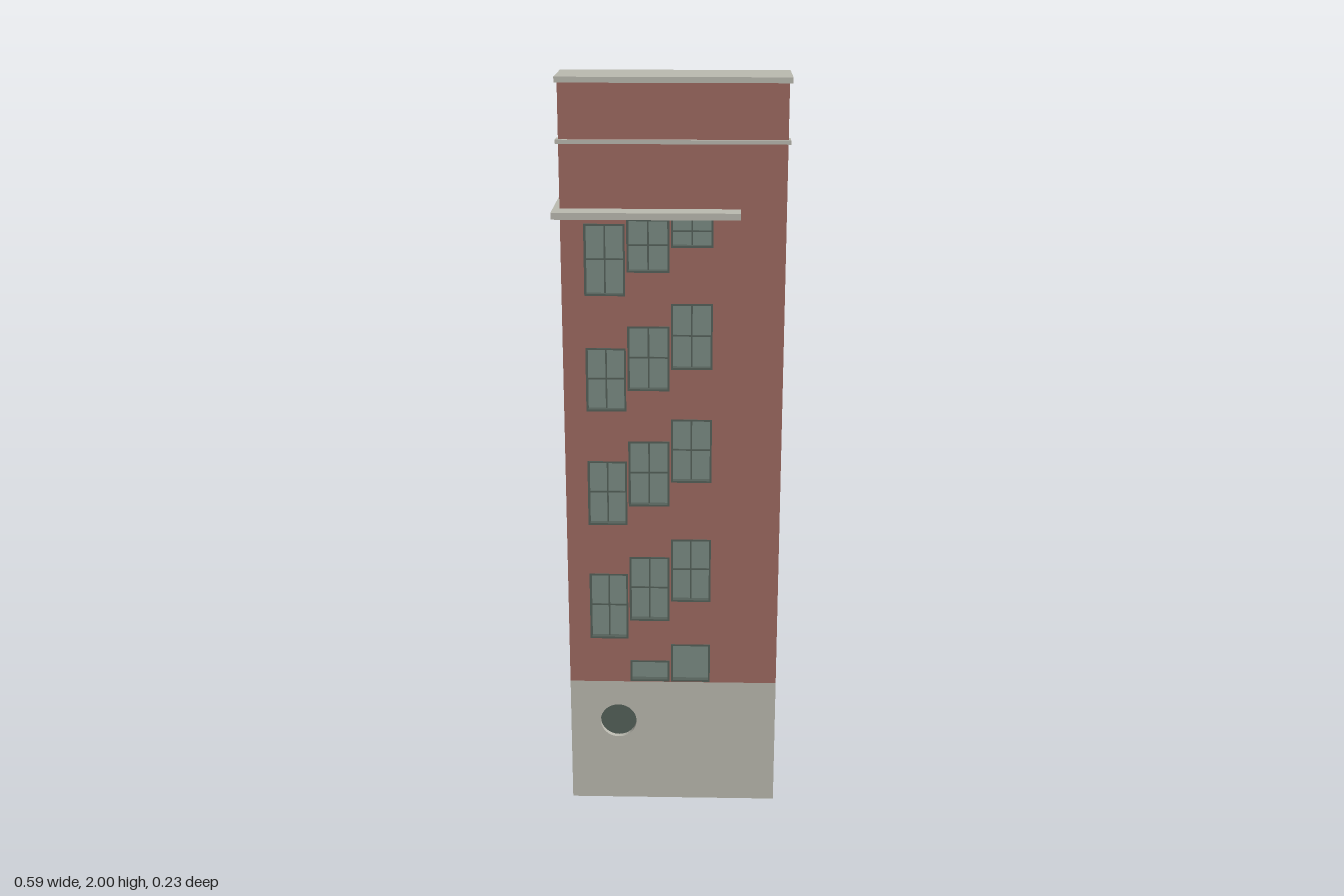
import * as THREE from 'three';

const mat = (name, color, side = THREE.FrontSide) => {
  const m = new THREE.MeshStandardMaterial({ color, side });
  m.name = name;
  return m;
};

// Wall extents
const X0 = -0.28, X1 = 0.287, Z0 = -0.111, Z1 = 0.053, T = 0.027;
const BASE = 0.365, TOP = 1.986;

// Window columns [left, right] and, per storey, [bottom, top] of each column
const COLS = [[-0.222, -0.118], [-0.114, -0.006], [-0.002, 0.105]];
const STOREYS = [
  [null, [0.367, 0.43], [0.367, 0.48]],
  [[0.496, 0.688], [0.55, 0.738], [0.608, 0.79]],
  [[0.83, 1.01], [0.884, 1.066], [0.952, 1.127]],
  [[1.148, 1.318], [1.204, 1.376], [1.262, 1.436]],
  [[1.455, 1.64], [1.516, 1.652], [1.58, 1.66]],
];
const PORTHOLE = { x: -0.148, y: 0.243, r: 0.05 };

const rect = (C, x0, x1, y0, y1) => {
  const s = new C();
  s.moveTo(x0, y0);
  s.lineTo(x1, y0);
  s.lineTo(x1, y1);
  s.lineTo(x0, y1);
  s.closePath();
  return s;
};

export function createModel() {
  const brick = mat('brick red', 0x9e6a61);
  const stone = mat('pale stone', 0xbbbab0);
  const glass = mat('grey green glass', 0x7b8c84, THREE.DoubleSide);
  const frame = mat('dark frame', 0x55615a, THREE.DoubleSide);
  const model = new THREE.Group();
  model.name = 'facade';

  const add = (parent, name, geo, material) => {
    const m = new THREE.Mesh(geo, material);
    m.name = name;
    parent.add(m);
    return m;
  };
  const box = (parent, name, material, x0, x1, y0, y1, z0, z1) => {
    const g = new THREE.BoxGeometry(x1 - x0, y1 - y0, z1 - z0);
    g.translate((x0 + x1) / 2, (y0 + y1) / 2, (z0 + z1) / 2);
    return add(parent, name, g, material);
  };
  const slab = (parent, name, material, shape, z0, depth) => {
    const g = new THREE.ExtrudeGeometry(shape, { depth, bevelEnabled: false, curveSegments: 24 });
    g.translate(0, 0, z0);
    return add(parent, name, g, material);
  };

  // Front wall: stone base with a round opening, brick above with windows
  const baseShape = rect(THREE.Shape, X0, X1, 0, BASE);
  const round = new THREE.Path();
  round.absarc(PORTHOLE.x, PORTHOLE.y, PORTHOLE.r, 0, Math.PI * 2, true);
  baseShape.holes.push(round);
  slab(model, 'frontBase', stone, baseShape, Z1 - T, T);

  const wallShape = rect(THREE.Shape, X0, X1, BASE, TOP);
  const windows = new THREE.Group();
  windows.name = 'windows';
  model.add(windows);

  STOREYS.forEach((storey) => storey.forEach((span, c) => {
    if (!span) return;
    const [x0, x1] = COLS[c], [y0, y1] = span;
    wallShape.holes.push(rect(THREE.Path, x0, x1, y0, y1));

    const win = new THREE.Group();
    win.name = 'window';
    windows.add(win);
    // Frame ring lining the opening
    const f = 0.005;
    const ring = rect(THREE.Shape, x0, x1, y0, y1);
    ring.holes.push(rect(THREE.Path, x0 + f, x1 - f, y0 + f, y1 - f));
    slab(win, 'windowFrame', frame, ring, Z1 - T - 0.001, T + 0.002);
    box(win, 'windowPane', glass, x0 + f, x1 - f, y0 + f, y1 - f, 0.034, 0.038);
    // Glazing bars on the outer face
    const cx = (x0 + x1) / 2, cy = (y0 + y1) / 2, b = 0.002;
    if (y0 < BASE + 0.01) return;
    box(win, 'uprightBar', frame, cx - b, cx + b, y0 + f, y1 - f, 0.038, 0.042);
    box(win, 'crossBar', frame, x0 + f, x1 - f, cy - b, cy + b, 0.038, 0.042);
  }));
  slab(model, 'frontWall', brick, wallShape, Z1 - T, T);

  // Round window
  const disc = new THREE.CylinderGeometry(PORTHOLE.r, PORTHOLE.r, 0.004, 32);
  disc.rotateX(Math.PI / 2);
  disc.translate(PORTHOLE.x, PORTHOLE.y, 0.037);
  add(model, 'roundWindow', disc, frame);

  // Side walls, open at the back
  for (const [x0, x1] of [[X0, X0 + T], [X1 - T, X1]]) {
    box(model, 'sideBase', stone, x0, x1, 0, BASE, Z0, Z1 - T);
    box(model, 'sideWall', brick, x0, x1, BASE, TOP, Z0, Z1 - T);
  }

  // Roof cap, thin string course and ledge wrapping one corner
  box(model, 'roofCap', stone, -0.287, 0.295, TOP, 2, -0.115, 0.06);
  box(model, 'stringCourse', stone, -0.287, 0.293, 1.839, 1.849, 0.02, 0.062);
  box(model, 'frontLedge', stone, -0.297, 0.172, 1.661, 1.678, 0.02, 0.113);
  box(model, 'sideLedge', stone, -0.297, -0.247, 1.661, 1.678, -0.115, 0.02);

  return model;
}
